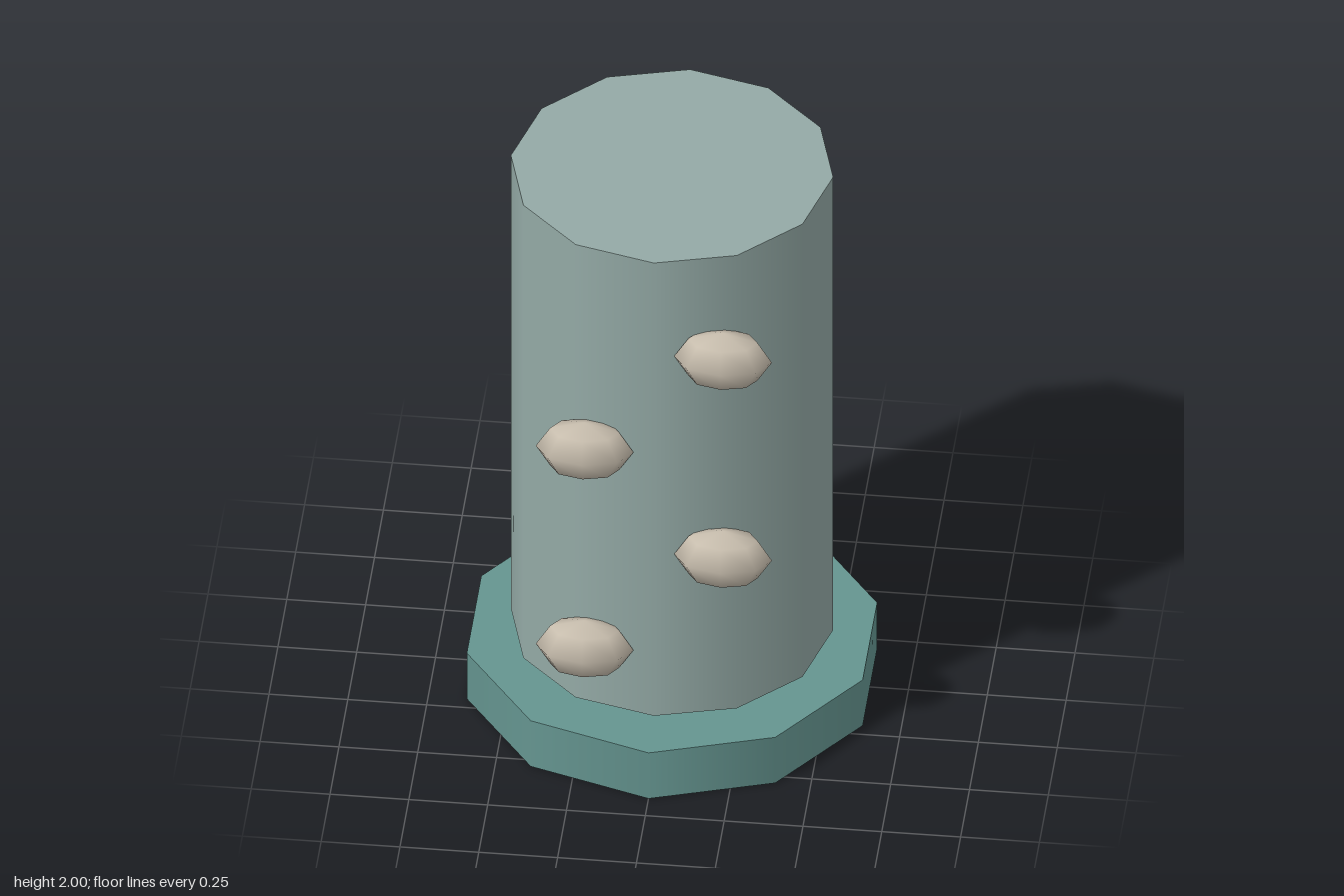
import * as THREE from 'three';

export function createModel() {
  const model = new THREE.Group();
  const paint = (name, color) => new THREE.MeshStandardMaterial({ name, color });
  const columnGrey = paint('pale grey green', 0x94aaa6);
  const baseGreen = paint('muted teal', 0x659590);
  const holdBeige = paint('warm beige', 0xc8beae);

  const add = (name, geometry, material, x, y, z) => {
    const mesh = new THREE.Mesh(geometry, material);
    mesh.name = name;
    mesh.position.set(x, y, z);
    model.add(mesh);
    return mesh;
  };

  // Ten-sided foot and twelve-sided column, with a narrow gap between them
  add('base', new THREE.CylinderGeometry(0.66, 0.66, 0.18, 10), baseGreen, 0, 0.09, 0);
  add('column', new THREE.CylinderGeometry(0.511, 0.511, 1.785, 12), columnGrey, 0, 1.1075, 0);

  // Flattened knobs staggered up the front, alternating sides
  const knob = new THREE.SphereGeometry(1, 8, 4).scale(0.155, 0.104, 0.088);
  for (let i = 0; i < 4; i++) {
    add(`knob${i + 1}`, knob, holdBeige, i % 2 ? 0.218 : -0.221, 0.458 + i * 0.39, 0.497);
  }
  return model;
}
